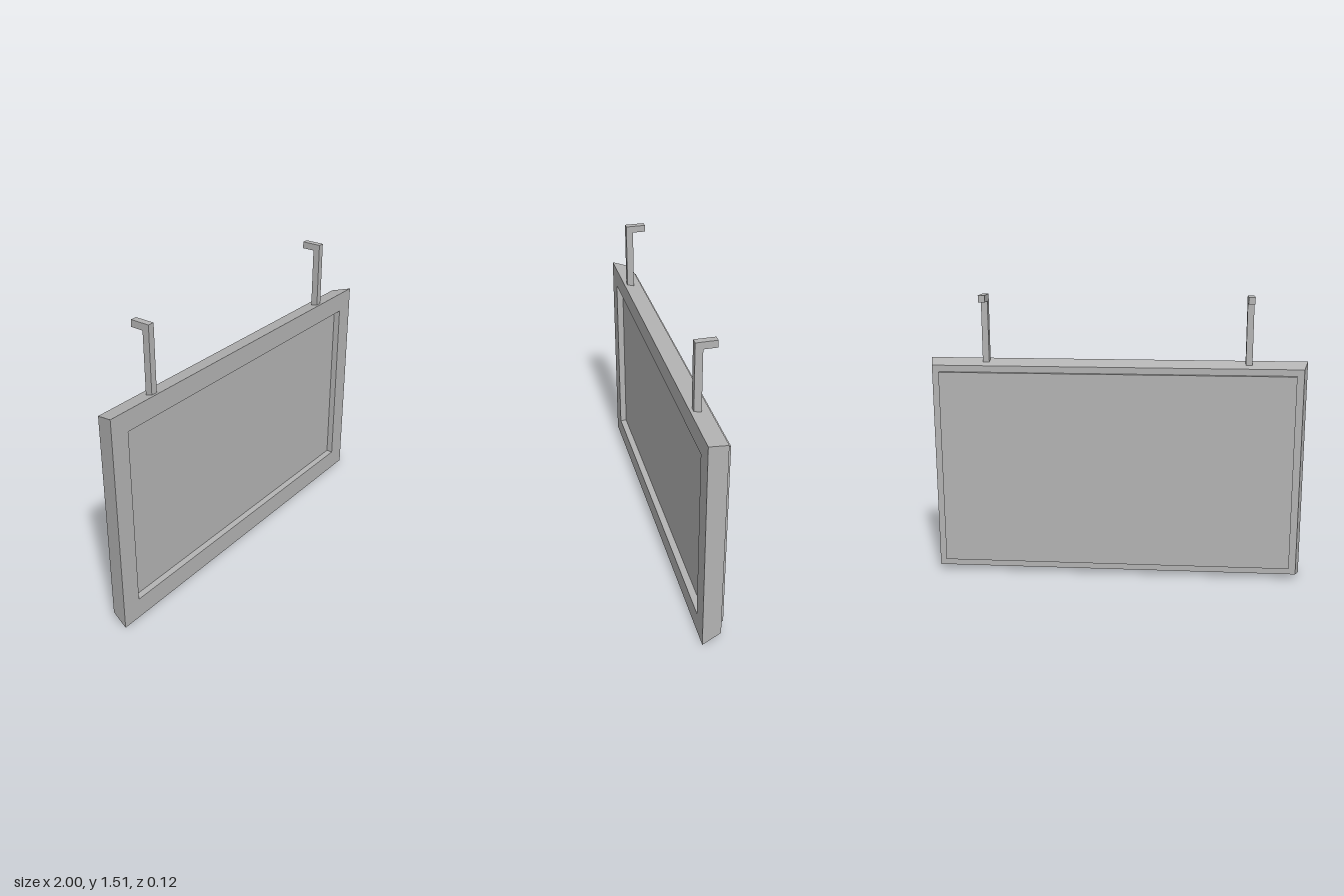
import * as THREE from 'three';

// Skin a stack of rectangles [halfWidth, bottom, top, z], capped at both ends.
function rectLoft(rings) {
  const pos = [];
  const corners = rings.map(([w, b, t, z]) => [[-w, b, z], [w, b, z], [w, t, z], [-w, t, z]]);
  const quad = (a, b, c, d) => pos.push(...a, ...b, ...c, ...a, ...c, ...d);
  for (let r = 0; r < corners.length - 1; r++) {
    const p = corners[r], q = corners[r + 1];
    for (let i = 0; i < 4; i++) {
      const j = (i + 1) % 4;
      quad(p[i], q[i], q[j], p[j]);
    }
  }
  const f = corners[0], k = corners[corners.length - 1];
  quad(f[0], f[1], f[2], f[3]);
  quad(k[1], k[0], k[3], k[2]);
  const geo = new THREE.BufferGeometry();
  geo.setAttribute('position', new THREE.Float32BufferAttribute(pos, 3));
  geo.computeVertexNormals();
  return geo;
}

export function createModel() {
  const group = new THREE.Group();
  const grey = new THREE.MeshStandardMaterial({ color: 0xb4b4b4 });
  grey.name = 'grey';

  const add = (name, geometry) => {
    const mesh = new THREE.Mesh(geometry, grey);
    mesh.name = name;
    group.add(mesh);
    return mesh;
  };

  // Frame with a recessed screen, tapering towards the back
  add('screenFrame', rectLoft([
    [0.895, 0.11, 1.065, 0.027],
    [0.895, 0.11, 1.065, 0.062],
    [1, 0, 1.172, 0.062],
    [0.973, 0.028, 1.145, -0.041],
  ]));

  // Raised plate on the back
  add('backPlate', rectLoft([
    [0.935, 0.066, 1.111, -0.039],
    [0.935, 0.066, 1.111, -0.062],
  ]));

  // L-shaped hanging hooks, profile drawn in (-z, y)
  const profile = new THREE.Shape([
    [-0.043, 1.14], [-0.006, 1.14], [-0.006, 1.478],
    [0.062, 1.478], [0.062, 1.514], [-0.043, 1.514],
  ].map(([x, y]) => new THREE.Vector2(x, y)));
  const hook = new THREE.ExtrudeGeometry(profile, { depth: 0.034, bevelEnabled: false });
  hook.translate(0, 0, -0.017).rotateY(Math.PI / 2);
  add('leftHook', hook).position.x = 0.692;
  add('rightHook', hook).position.x = -0.692;

  return group;
}
